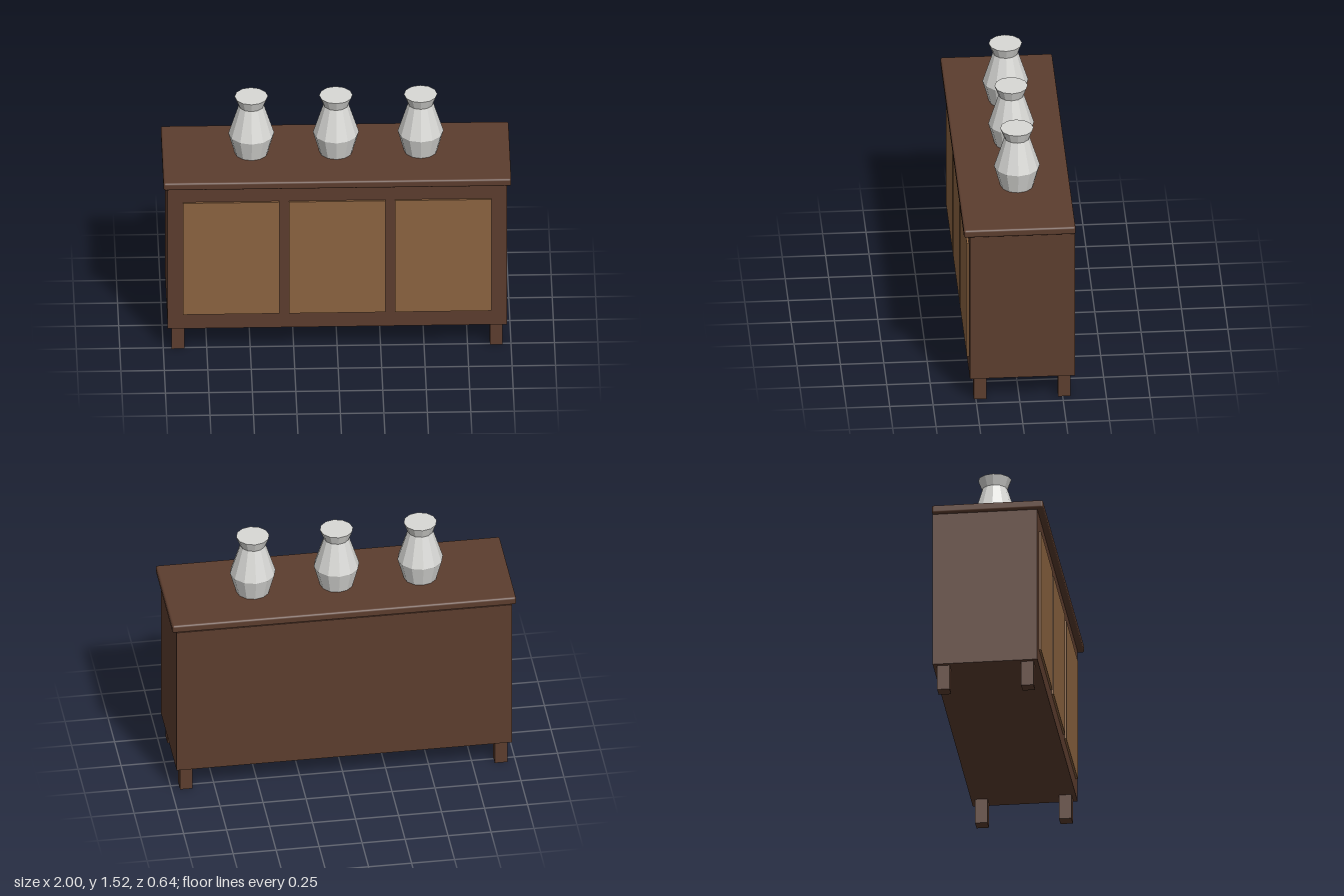
import * as THREE from 'three';
import { RoundedBoxGeometry } from 'three/addons/geometries/RoundedBoxGeometry.js';

export function createModel() {
  const model = new THREE.Group();
  model.name = 'sideboard';

  const material = (name, color, flatShading = false) => {
    const m = new THREE.MeshStandardMaterial({ color, flatShading });
    m.name = name;
    return m;
  };
  const darkWood = material('dark wood', 0x5c3d2e);
  const lightWood = material('light wood', 0x8b6340);
  const ceramic = material('pale ceramic', 0xd9d9d6, true);

  const add = (name, geometry, mat, x, y, z) => {
    const mesh = new THREE.Mesh(geometry, mat);
    mesh.name = name;
    mesh.position.set(x, y, z);
    model.add(mesh);
    return mesh;
  };

  // Cabinet body, set slightly back under the top
  add('body', new THREE.BoxGeometry(1.95, 0.95, 0.606), darkWood, 0, 0.625, -0.017);

  // Overhanging top with softened edges
  add('top', new RoundedBoxGeometry(2, 0.048, 0.644, 2, 0.012), darkWood, 0, 1.124, 0);

  // Three raised door panels
  const door = new THREE.BoxGeometry(0.556, 0.75, 0.022);
  for (const i of [-1, 0, 1]) add('door', door, lightWood, i * 0.61, 0.625, 0.287);

  // Four square legs
  const leg = new THREE.BoxGeometry(0.073, 0.15, 0.072);
  for (const x of [-0.915, 0.915]) {
    add('frontLeg', leg, darkWood, x, 0.075, 0.226);
    add('backLeg', leg, darkWood, x, 0.075, -0.26);
  }

  // Three twelve-sided vases with closed mouths
  const profile = [
    [0, 0], [0.096, 0], [0.132, 0.13], [0.073, 0.316], [0.096, 0.376], [0, 0.376],
  ].map(([r, y]) => new THREE.Vector2(r, y));
  const vase = new THREE.LatheGeometry(profile, 12);
  for (const i of [-1, 0, 1]) add('vase', vase, ceramic, i * 0.487, 1.148, -0.018);

  return model;
}
